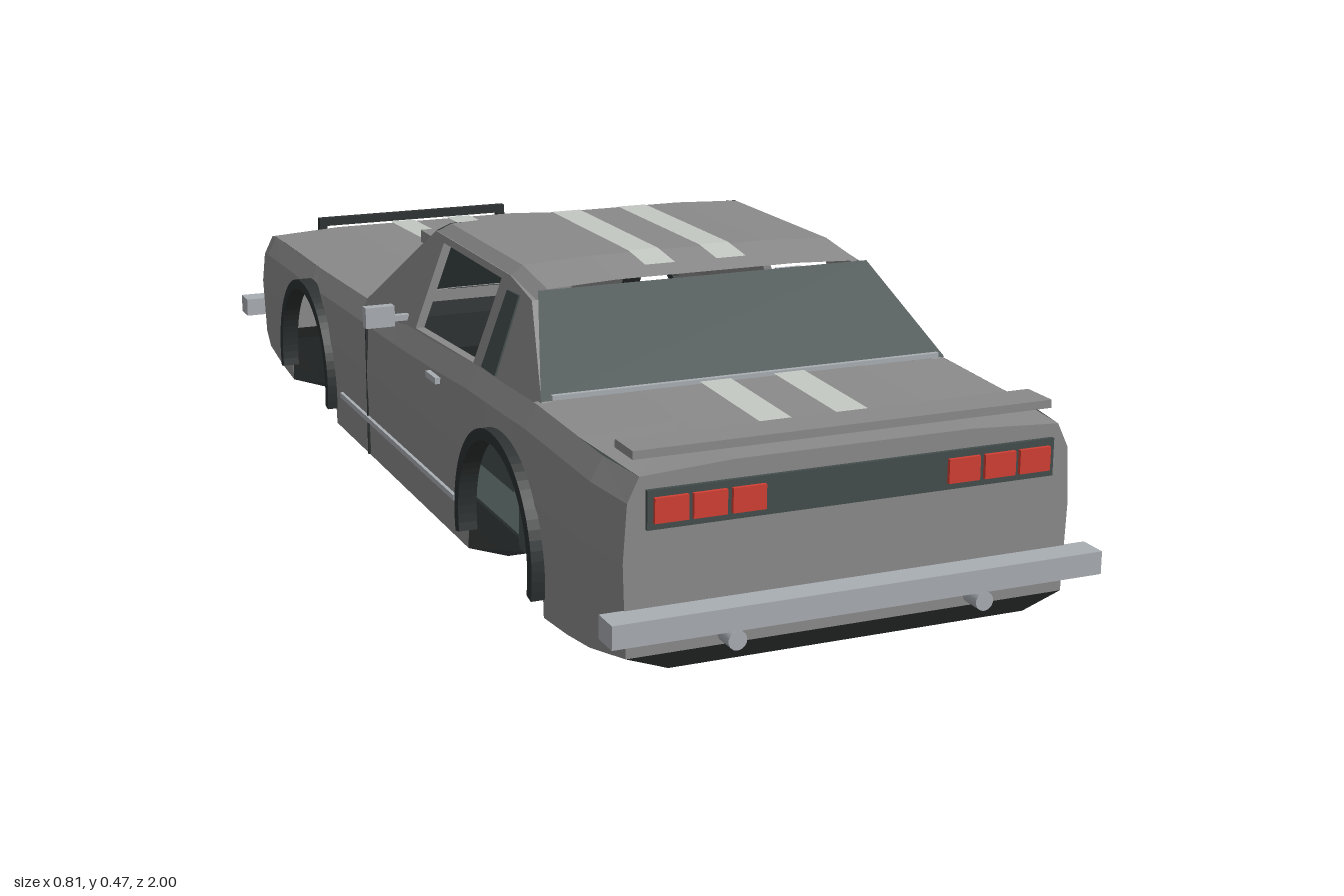
import * as THREE from 'three';

const mat = (name, color) => new THREE.MeshStandardMaterial({ name, color, side: THREE.DoubleSide });
const M = {
  paint: mat('grey paint', 0x8a8a8a),
  glass: mat('dark glass', 0x434d4c),
  black: mat('black underside', 0x1d2020),
  trim: mat('dark trim', 0x2d3131),
  chrome: mat('chrome', 0xa9aeb3),
  stripe: mat('pale stripe', 0xc4c8c3),
  red: mat('red lamp', 0xd23f33),
  lamp: mat('head lamp', 0xcdd2d4),
};

// piecewise linear curve through [t, value] knots
const curve = (knots) => (t) => {
  if (t <= knots[0][0]) return knots[0][1];
  for (let i = 1; i < knots.length; i++) {
    const [a, va] = knots[i - 1], [b, vb] = knots[i];
    if (t <= b) return va + (vb - va) * (t - a) / (b - a);
  }
  return knots[knots.length - 1][1];
};
const topY = curve([[-0.93, 0.255], [-0.87, 0.268], [-0.2, 0.288], [0.1, 0.295], [0.35, 0.312], [0.62, 0.318], [0.95, 0.308]]);
const lowY = curve([[-0.93, 0.035], [-0.8, 0.01], [-0.66, 0], [0.7, 0], [0.82, 0.01], [0.955, 0.035]]);
const creaseY = curve([[-0.93, 0.165], [0.955, 0.19]]);
const plan = curve([[-0.93, 0.95], [-0.86, 0.98], [-0.5, 1], [0.5, 1], [0.86, 0.985], [0.955, 0.95]]);

// flat-faced skin through equal-length rows of points
function loft(rows, caps = false) {
  const pos = [];
  const quad = (a, b, c, d) => pos.push(...a, ...c, ...b, ...b, ...c, ...d);
  for (let i = 0; i + 1 < rows.length; i++)
    for (let j = 0; j + 1 < rows[i].length; j++)
      quad(rows[i][j], rows[i][j + 1], rows[i + 1][j], rows[i + 1][j + 1]);
  if (caps) {
    const n = rows[0].length, last = rows[rows.length - 1];
    for (let j = 0; j + 1 < n / 2; j++) {
      quad(rows[0][j], rows[0][n - 1 - j], rows[0][j + 1], rows[0][n - 2 - j]);
      quad(last[j + 1], last[n - 2 - j], last[j], last[n - 1 - j]);
    }
  }
  const g = new THREE.BufferGeometry();
  g.setAttribute('position', new THREE.Float32BufferAttribute(pos, 3));
  g.computeVertexNormals();
  return g;
}
const mirrored = (half) => [...half.map(([x, y, z]) => [-x, y, z]), ...half.slice().reverse()];

const ARCH_Z = [-0.51, 0.535], ARCH_Y = 0.088, ARCH_R = 0.158;

// stations along the car, with the lower edge raised around each wheel arch
function stations() {
  const list = [-0.93, -0.86, -0.76].map((z) => ({ z }));
  ARCH_Z.forEach((c, k) => {
    list.push({ z: c - ARCH_R });
    for (let i = 0; i <= 16; i++) {
      const t = Math.PI * (1 - i / 16);
      list.push({ z: c + ARCH_R * Math.cos(t), arch: ARCH_Y + ARCH_R * Math.sin(t) });
    }
    list.push({ z: c + ARCH_R });
    if (k === 0) [-0.2, 0, 0.2].forEach((z) => list.push({ z }));
  });
  return [...list, ...[0.78, 0.86, 0.955].map((z) => ({ z }))];
}

function sideRow({ z, arch }) {
  const low = arch ?? lowY(z) + 0.022, s = plan(z), top = topY(z);
  const half = [[0.355, low], [0.36, creaseY(z)], [0.354, top - 0.035], [0.336, top]];
  return half.map(([x, y]) => [x * s, Math.max(y, low), z]);
}
function floorRow({ z, arch }) {
  const s = plan(z), y = lowY(z);
  const half = arch ? [[0.25, y, z], [0.25, y, z]] : [[0.355 * s, y + 0.022, z], [0.29 * s, y, z]];
  return mirrored(half).reverse();
}
const deckRow = (z) => mirrored([[0.336 * plan(z), topY(z), z], [0.18, topY(z) + 0.008, z]]);

export function createModel() {
  const car = new THREE.Group();
  car.name = 'car';
  const add = (name, geo, m, x = 0, y = 0, z = 0) => {
    const mesh = new THREE.Mesh(geo, m);
    mesh.name = name;
    mesh.position.set(x, y, z);
    car.add(mesh);
    return mesh;
  };
  const box = (name, m, w, h, d, x, y, z) => add(name, new THREE.BoxGeometry(w, h, d), m, x, y, z);
  const both = (fn) => [-1, 1].forEach(fn);

  // body shell
  const st = stations(), sides = st.map(sideRow);
  add('rightSide', loft(sides.map((r) => r.map(([x, y, z]) => [-x, y, z]))), M.paint);
  add('leftSide', loft(sides.map((r) => r.slice().reverse())), M.paint);
  add('hood', loft([-0.93, -0.87, -0.5, -0.19].map(deckRow)), M.paint);
  add('trunkLid', loft([0.61, 0.78, 0.955].map(deckRow)), M.paint);
  [[-0.93, 'nosePanel', 1], [0.955, 'tailPanel', -1]].forEach(([z, name, dir]) => {
    const rows = [...sideRow({ z }), [0.18, topY(z) + 0.008, z]].map(([x, y]) => [[-x * dir, y, z], [x * dir, y, z]]);
    add(name, loft(rows.map((r) => r.reverse()).map((r) => r.slice().reverse()).reverse()), M.paint);
  });
  add('underside', loft(st.map(floorRow), true), M.black);
  box('cabinFloor', M.glass, 0.5, 0.006, 1.4, 0, 0.008, 0);

  // roof with bevelled edges
  const roofRow = (z, drop, edge = z) =>
    mirrored([[0.28, 0.445 - drop, edge], [0.26, 0.462 - drop, z], [0.15, 0.467 - drop, z]]);
  add('roof', loft([roofRow(0.036, 0, 0.013), roofRow(0.37, 0), roofRow(0.475, 0.015)]), M.paint);

  // cabin sides: sloped panels with open windows
  const outline = [[-0.2, 0.272], [-0.2, 0.288], [0.013, 0.447], [0.37, 0.447], [0.475, 0.432], [0.625, 0.316], [0.625, 0.272]];
  const opening = [[0.065, 0.298], [0.065, 0.437], [0.34, 0.437], [0.34, 0.308]];
  const toV = (p) => p.map(([z, y]) => new THREE.Vector2(z, y));
  const lean = (shape, side, out, depth) => {
    const g = new THREE.ExtrudeGeometry(shape, { depth, bevelEnabled: false });
    const p = g.attributes.position;
    for (let i = 0; i < p.count; i++) {
      const z = p.getX(i), y = p.getY(i), t = p.getZ(i);
      p.setXYZ(i, side * (0.28 + (0.445 - y) * 0.37 + out - t), y, z);
    }
    if (side < 0) { // keep the winding outward on the mirrored side
      for (let i = 0; i < p.count; i += 3) {
        const a = new THREE.Vector3().fromBufferAttribute(p, i), b = new THREE.Vector3().fromBufferAttribute(p, i + 1);
        p.setXYZ(i, b.x, b.y, b.z);
        p.setXYZ(i + 1, a.x, a.y, a.z);
      }
    }
    g.computeVertexNormals();
    return g;
  };
  both((s) => {
    const panel = new THREE.Shape(toV(outline));
    panel.holes.push(new THREE.Path(toV(opening)));
    add('cabinSide', lean(panel, s, 0, 0.015), M.paint);
    const quarter = new THREE.Shape(toV([[0.38, 0.312], [0.38, 0.428], [0.43, 0.43], [0.44, 0.312]]));
    add('quarterWindow', lean(quarter, s, 0.003, 0.004), M.glass);
  });
  add('windshield', loft([
    mirrored([[0.325, 0.292, -0.203]]), mirrored([[0.276, 0.447, 0.008]]), mirrored([[0.26, 0.463, 0.036]]),
  ]), M.glass);
  add('rearWindow', loft([mirrored([[0.275, 0.446, 0.475]]), mirrored([[0.33, 0.322, 0.628]])]), M.glass);
  box('rearWindowSill', M.chrome, 0.63, 0.007, 0.008, 0, 0.328, 0.632);

  // interior
  box('rearBench', M.glass, 0.56, 0.26, 0.08, 0, 0.15, 0.44);
  box('dashboard', M.trim, 0.6, 0.06, 0.1, 0, 0.25, -0.12);
  both((s) => {
    box('seatCushion', M.glass, 0.2, 0.07, 0.2, s * 0.14, 0.1, 0.17);
    box('seatBack', M.glass, 0.2, 0.2, 0.05, s * 0.14, 0.19, 0.28);
  });
  const wheel = add('steeringWheel', new THREE.TorusGeometry(0.04, 0.007, 6, 16), M.trim, -0.14, 0.298, 0.09);
  wheel.rotation.x = -0.3;

  // paired racing stripes
  const ribbon = (x, pts) => loft(pts.map(([z, y]) => [[x - 0.025, y, z], [x + 0.025, y, z]]));
  const onDeck = (zs) => zs.map((z) => [z, topY(z) + 0.011]);
  both((s) => {
    const x = s * 0.06;
    add('hoodStripe', ribbon(x, onDeck([-0.92, -0.87, -0.5, -0.21])), M.stripe);
    add('roofStripe', ribbon(x, [[0.045, 0.47], [0.37, 0.47], [0.435, 0.461]]), M.stripe);
    add('trunkStripe', ribbon(x, onDeck([0.635, 0.78, 0.87])), M.stripe);
  });
  box('hoodScoop', M.paint, 0.19, 0.024, 0.26, 0, 0.295, -0.51);
  box('spoiler', M.paint, 0.64, 0.012, 0.06, 0, 0.331, 0.905);

  // wheel arch trims and side details
  const ring = new THREE.Shape();
  ring.absarc(0, 0, 0.168, -0.22, Math.PI + 0.22, false);
  ring.absarc(0, 0, 0.15, Math.PI + 0.22, -0.22, true);
  const ringGeo = new THREE.ExtrudeGeometry(ring, { depth: 0.03, bevelEnabled: false, curveSegments: 20 });
  ringGeo.rotateY(Math.PI / 2);
  both((s) => {
    ARCH_Z.forEach((z) => add('archTrim', ringGeo, M.trim, s > 0 ? 0.344 : -0.374, ARCH_Y, z));
    box('sideMoulding', M.chrome, 0.006, 0.009, 0.63, s * 0.36, 0.09, 0.015);
    box('doorSeam', M.trim, 0.004, 0.24, 0.004, s * 0.358, 0.145, -0.14);
    box('doorHandle', M.chrome, 0.01, 0.01, 0.05, s * 0.358, 0.258, 0.225);
    box('mirrorArm', M.chrome, 0.04, 0.01, 0.012, s * 0.345, 0.305, 0.012);
    box('mirror', M.chrome, 0.05, 0.035, 0.018, s * 0.381, 0.31, 0.012);
  });

  // tail
  box('tailLampPanel', M.glass, 0.62, 0.055, 0.008, 0, 0.262, 0.957);
  both((s) => [0.164, 0.221, 0.277].forEach((x) => box('tailLamp', M.red, 0.049, 0.035, 0.008, s * x, 0.262, 0.963)));
  box('rearBumper', M.chrome, 0.75, 0.034, 0.045, 0, 0.108, 0.975);
  both((s) => {
    const pipe = add('exhaustPipe', new THREE.CylinderGeometry(0.014, 0.014, 0.08, 14), M.chrome, s * 0.19, 0.074, 0.95);
    pipe.rotation.x = Math.PI / 2;
  });

  // nose
  box('grillePanel', M.trim, 0.62, 0.075, 0.008, 0, 0.203, -0.932);
  box('grilleMesh', M.glass, 0.28, 0.05, 0.008, 0, 0.203, -0.937);
  for (let i = 0; i < 4; i++) box('grilleBar', M.chrome, 0.28, 0.004, 0.006, 0, 0.184 + i * 0.0127, -0.942);
  for (let i = 0; i < 11; i++) box('grilleRib', M.chrome, 0.003, 0.042, 0.005, -0.135 + i * 0.027, 0.203, -0.941);
  both((s) => [0.195, 0.262].forEach((x) => {
    const bezel = add('headlampBezel', new THREE.CylinderGeometry(0.031, 0.031, 0.014, 18), M.chrome, s * x, 0.203, -0.938);
    const lens = add('headlamp', new THREE.CylinderGeometry(0.025, 0.025, 0.02, 18), M.lamp, s * x, 0.203, -0.94);
    bezel.rotation.x = lens.rotation.x = Math.PI / 2;
  }));
  box('frontBumper', M.chrome, 0.75, 0.034, 0.045, 0, 0.108, -0.96);
  box('bumperPlate', M.chrome, 0.3, 0.05, 0.01, 0, 0.115, -0.984);
  both((s) => box('markerLamp', M.red, 0.06, 0.02, 0.008, s * 0.282, 0.108, -0.985));
  both((s) => box('guardPost', M.trim, 0.016, 0.18, 0.016, s * 0.196, 0.18, -0.99));
  box('guardRail', M.trim, 0.408, 0.016, 0.016, 0, 0.264, -0.99);

  return car;
}
